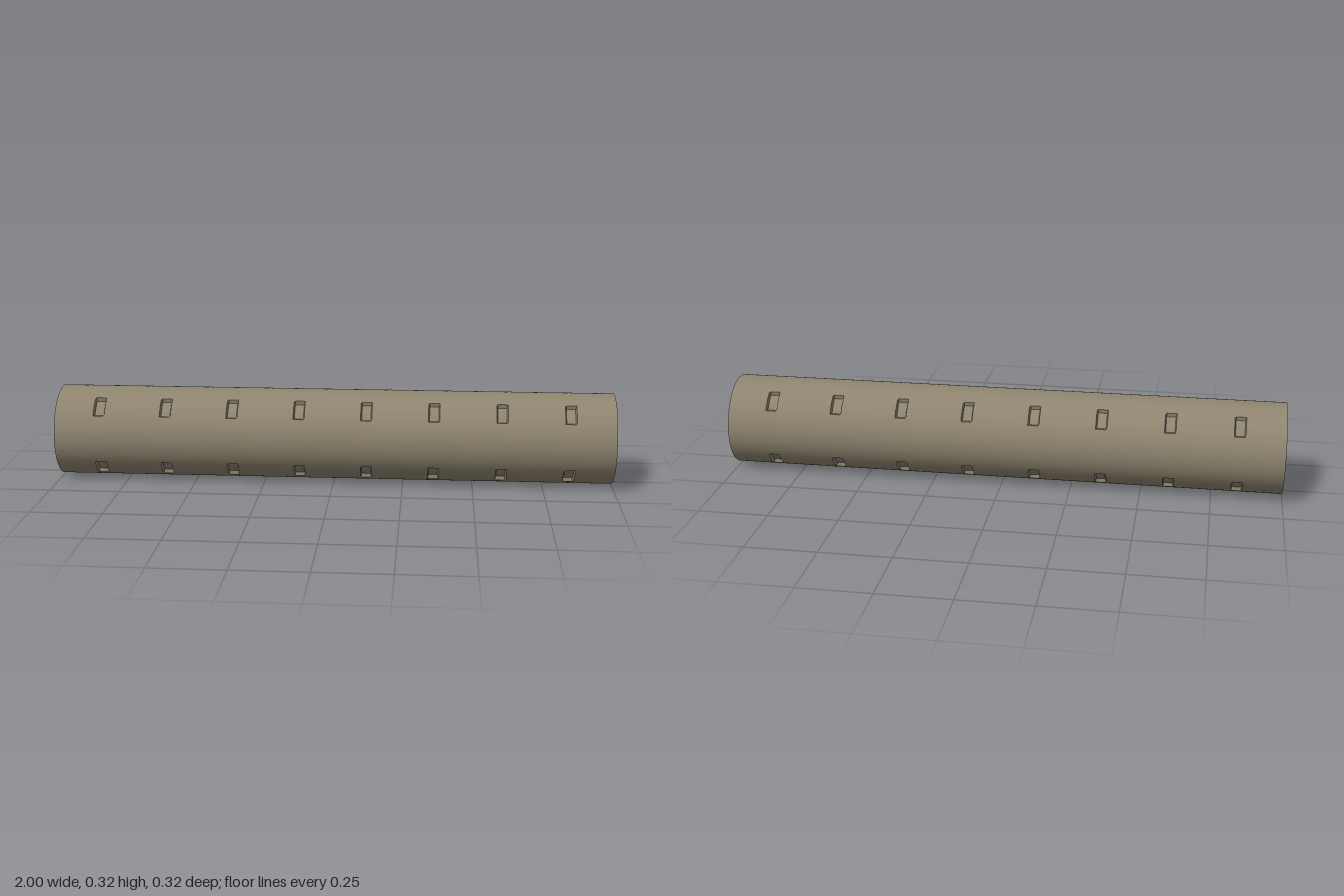
import * as THREE from 'three';
import { toCreasedNormals } from 'three/addons/utils/BufferGeometryUtils.js';

const R = 0.1625, WALL = 0.006, DEPTH = 0.0125;
const POCKETS = 8, PITCH = 0.24;
const DEG = Math.PI / 180;

// Split a span into n equal steps, leaving out the last point
const steps = (a, b, n) => Array.from({ length: n }, (_, i) => a + (b - a) * i / n);

// A cylindrical skin dented inward by rows of pockets on the four diagonals.
// rim / floor are half sizes of a pocket: x along the tube, a in degrees around it.
function skin(radius, rim, floor, inward) {
  const xs = [{ v: -1, floor: false }];
  for (let i = 0; i < POCKETS; i++) {
    const c = (i - (POCKETS - 1) / 2) * PITCH;
    xs.push({ v: c - rim.x, floor: false }, { v: c - floor.x, floor: true },
      { v: c + floor.x, floor: true }, { v: c + rim.x, floor: false });
  }
  xs.push({ v: 1, floor: false });

  const angles = [];
  for (let q = 0; q < 4; q++) {
    const c = 45 + q * 90;
    angles.push({ v: c - rim.a, floor: false });
    for (const v of [...steps(c - floor.a, c + floor.a, 6), c + floor.a]) angles.push({ v, floor: true });
    for (const v of steps(c + rim.a, c + 90 - rim.a, 16)) angles.push({ v, floor: false });
  }

  const n = angles.length, pos = [], index = [];
  for (const x of xs) {
    for (const a of angles) {
      const r = radius - (x.floor && a.floor ? DEPTH : 0);
      pos.push(x.v, R + r * Math.sin(a.v * DEG), r * Math.cos(a.v * DEG));
    }
  }
  for (let i = 0; i < xs.length - 1; i++) {
    for (let j = 0; j < n; j++) {
      const k = (j + 1) % n;
      const a = i * n + j, b = (i + 1) * n + j, c = (i + 1) * n + k, d = i * n + k;
      if (inward) index.push(a, c, b, a, d, c);
      else index.push(a, b, c, a, c, d);
    }
  }
  const geo = new THREE.BufferGeometry();
  geo.setAttribute('position', new THREE.Float32BufferAttribute(pos, 3));
  geo.setIndex(index);
  return toCreasedNormals(geo, 0.4);
}

export function createModel() {
  const group = new THREE.Group();
  group.name = 'dimpledTube';
  const mat = new THREE.MeshStandardMaterial({ color: 0x8f8570 });
  const add = (name, geo) => {
    const mesh = new THREE.Mesh(geo, mat);
    mesh.name = name;
    group.add(mesh);
    return mesh;
  };

  // Outer wall with recessed pockets, inner wall with the matching bumps
  add('outerWall', skin(R, { x: 0.02, a: 13.7 }, { x: 0.016, a: 11.5 }, false));
  add('innerWall', skin(R - WALL, { x: 0.022, a: 14.4 }, { x: 0.02, a: 12 }, true));

  // Flat annular rims closing the wall at both ends
  for (const side of [-1, 1]) {
    const rim = add(side > 0 ? 'leftRim' : 'rightRim', new THREE.RingGeometry(R - WALL, R, 96));
    rim.rotation.y = side * Math.PI / 2;
    rim.position.set(side, R, 0);
  }
  return group;
}
